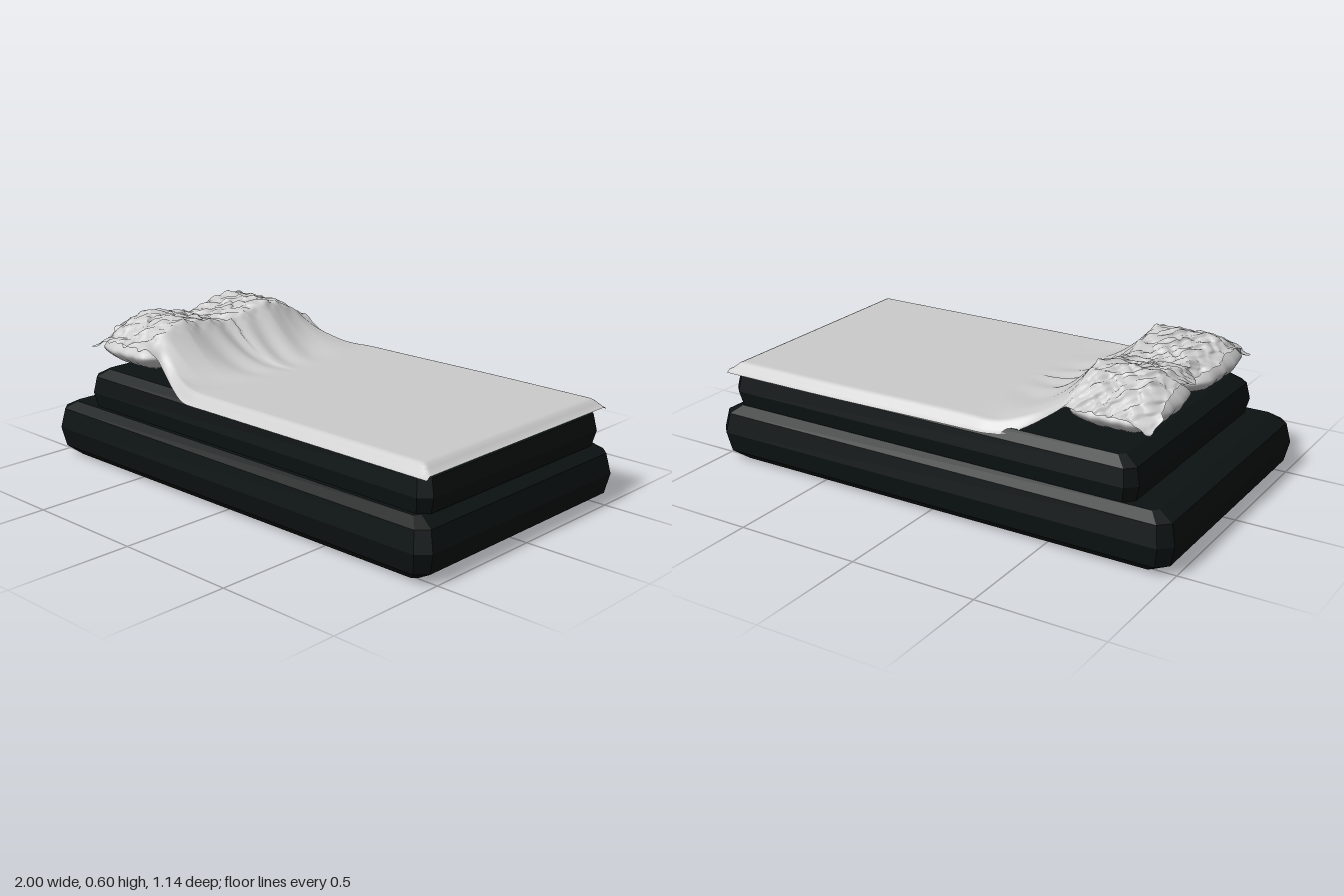
import * as THREE from 'three';

const { lerp, smoothstep, clamp } = THREE.MathUtils;
const dark = new THREE.MeshStandardMaterial({ color: 0x0c1212, flatShading: true });
const cloth = new THREE.MeshStandardMaterial({ color: 0xcccccc, side: THREE.DoubleSide });

// Low-poly cushion slab: stacked rectangles with cut corners.
// levels: [y, x inset, z inset, corner cut], bottom to top
function slab(name, halfX, halfZ, levels) {
  const pos = [], index = [], n = 8;
  for (const [y, ix, iz, c] of levels) {
    const X = halfX - ix, Z = halfZ - iz;
    const ring = [[X, Z - c], [X, c - Z], [X - c, -Z], [c - X, -Z], [-X, c - Z], [-X, Z - c], [c - X, Z], [X - c, Z]];
    for (const [x, z] of ring) pos.push(x, y, z);
  }
  for (let l = 0; l < levels.length - 1; l++) {
    for (let i = 0; i < n; i++) {
      const a = l * n + i, b = l * n + (i + 1) % n;
      index.push(a, b, b + n, a, b + n, a + n);
    }
  }
  const top = (levels.length - 1) * n;
  for (let i = 1; i < n - 1; i++) {
    index.push(0, i + 1, i, top, top + i, top + i + 1);
  }
  const geo = new THREE.BufferGeometry();
  geo.setAttribute('position', new THREE.Float32BufferAttribute(pos, 3));
  geo.setIndex(index);
  geo.computeVertexNormals();
  const mesh = new THREE.Mesh(geo, dark);
  mesh.name = name;
  return mesh;
}

// Pillow: a sphere squared off in plan, with a thin seam around its middle
function pillow(name, z, halfZ) {
  const geo = new THREE.SphereGeometry(1, 40, 24);
  const p = geo.attributes.position;
  for (let i = 0; i < p.count; i++) {
    const x = p.getX(i), y = p.getY(i), zz = p.getZ(i);
    const angle = Math.atan2(zz, x);
    const square = (Math.abs(Math.cos(angle)) ** 5 + Math.abs(Math.sin(angle)) ** 5) ** -0.2;
    const spread = square * (1 + 0.03 * Math.sin(angle * 14) * Math.hypot(x, zz));
    p.setXYZ(i, x * spread * 0.165, Math.sign(y) * Math.abs(y) ** 1.25 * 0.082, zz * spread * halfZ);
  }
  geo.computeVertexNormals();
  const mesh = new THREE.Mesh(geo, cloth);
  mesh.name = name;
  mesh.position.set(-0.66, 0.468, z);
  return mesh;
}

// Height of the blanket across the two pillows: [z, y]
const humps = [[-0.46, 0.49], [-0.41, 0.5], [-0.35, 0.545], [-0.27, 0.582], [-0.18, 0.596], [-0.06, 0.565], [0.04, 0.548],
  [0.12, 0.568], [0.27, 0.596], [0.36, 0.565], [0.42, 0.52], [0.5, 0.505]];
function humpHeight(z) {
  let i = 0;
  while (i < humps.length - 2 && z > humps[i + 1][0]) i++;
  const [z0, y0] = humps[i], [z1, y1] = humps[i + 1];
  return lerp(y0, y1, clamp((z - z0) / (z1 - z0), 0, 1));
}

// Layered waves for crumpled cloth
const crumple = (x, z) =>
  0.4 * Math.sin(61 * x + 23 * z + 2 * Math.sin(31 * z)) +
  0.35 * Math.sin(97 * z - 37 * x + 2 * Math.sin(43 * x)) +
  0.25 * Math.sin(149 * x + 131 * z);

// Blanket: flat over the mattress, rising over the pillows, loose at the edges
function blanket() {
  const geo = new THREE.PlaneGeometry(1, 1, 190, 130);
  const p = geo.attributes.position, uv = geo.attributes.uv;
  for (let i = 0; i < p.count; i++) {
    const u = uv.getX(i), v = 1 - uv.getY(i);
    let x = lerp(-0.835, 0.96, u ** 1.35);
    const rise = clamp((-0.22 - x) / 0.3, 0, 1) ** 2;
    const narrow = smoothstep(-x, 0.2, 0.5);
    const head = smoothstep(-x, 0.47, 0.56);
    const zMin = lerp(-0.525 - 0.015 * smoothstep(x, -0.2, 0.6), -0.435, narrow);
    const zMax = lerp(0.52, 0.435, narrow) + 0.04 * head;
    let z = lerp(zMin, zMax, v);

    // turned-down hem along the sides and foot
    const edge = Math.min(z - zMin, zMax - z);
    const hem = 1 - smoothstep(edge, 0, 0.045);
    const foot = smoothstep(x, 0.91, 0.96);
    const flat = 0.407 - 0.042 * Math.max(hem, 0.75 * foot);
    let y = lerp(flat, humpHeight(z), rise);

    // folds fanning out from the pillows
    const folds = smoothstep(-x, 0.1, 0.4) * (1 - head);
    y += 0.006 * folds * Math.sin(38 * z + 9 * x * Math.sign(z) + 2 * Math.sin(9 * z));

    // crumpled, ragged head end
    const n = crumple(x, z);
    const back = 1 - smoothstep(x, -0.84, -0.75);
    y += head * 0.011 * n - 0.04 * back * (1 + 0.4 * n);
    x += head * 0.01 * crumple(z, x + 1) + back * (0.04 * Math.exp(-(((z - 0.04) / 0.05) ** 2)) - 0.02 * smoothstep(-z, 0.2, 0.43));
    z += head * 0.012 * crumple(x + 2, z);
    p.setXYZ(i, x, y, z);
  }
  geo.computeVertexNormals();
  const mesh = new THREE.Mesh(geo, cloth);
  mesh.name = 'blanket';
  return mesh;
}

export function createModel() {
  const group = new THREE.Group();
  group.name = 'bed';

  group.add(slab('bedBase', 1, 0.572, [
    [0, 0.085, 0.06, 0.02], [0.04, 0.018, 0.015, 0.04], [0.12, 0, 0, 0.045], [0.2, 0.018, 0.015, 0.04], [0.23, 0.075, 0.055, 0.02],
  ]));

  const mattress = slab('mattress', 0.897, 0.52, [
    [0.2, 0.06, 0.05, 0.02], [0.228, 0.016, 0.013, 0.035], [0.29, 0, 0, 0.04], [0.355, 0.014, 0.012, 0.035], [0.387, 0.07, 0.05, 0.02],
  ]);
  mattress.position.set(0.056, 0, -0.008);
  group.add(mattress);

  group.add(pillow('leftPillow', 0.26, 0.205), pillow('rightPillow', -0.205, 0.205));
  group.add(blanket());
  return group;
}
